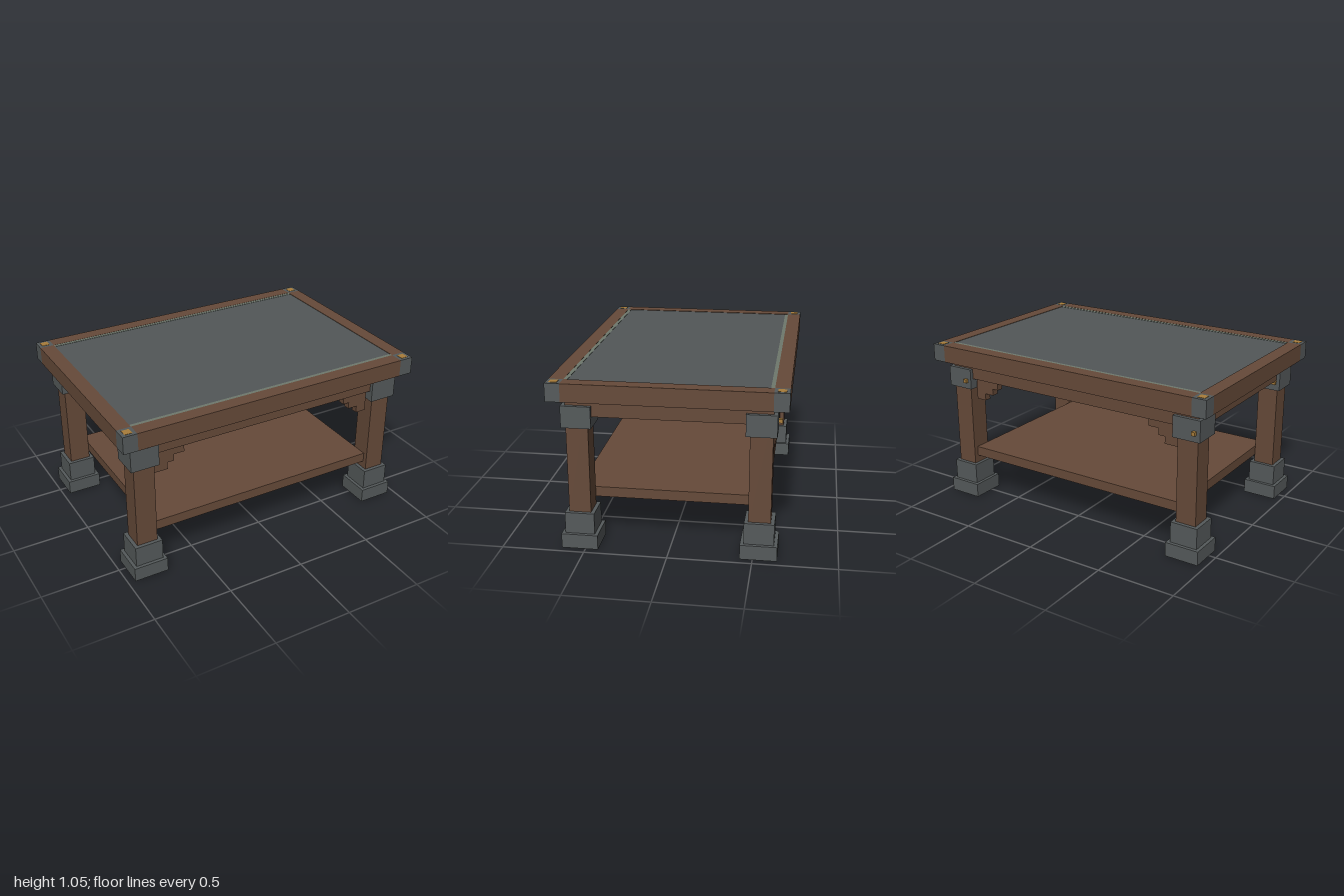
import * as THREE from 'three';

const mat = (name, color) => {
  const m = new THREE.MeshStandardMaterial({ color });
  m.name = name;
  return m;
};

export function createModel() {
  const wood = mat('wood', 0x664a39);
  const steel = mat('steel', 0x555a5b);
  const slate = mat('slate', 0x525758);
  const trim = mat('paleTrim', 0x6f786d);
  const brass = mat('brass', 0xa87d3b);

  const table = new THREE.Group();
  table.name = 'table';

  // Box given by its lower and upper limits on each axis
  const box = (parent, name, material, [x0, x1], [y0, y1], [z0, z1]) => {
    const mesh = new THREE.Mesh(new THREE.BoxGeometry(x1 - x0, y1 - y0, z1 - z0), material);
    mesh.position.set((x0 + x1) / 2, (y0 + y1) / 2, (z0 + z1) / 2);
    mesh.name = name;
    parent.add(mesh);
  };
  const around = (c, half) => [c - half, c + half];

  // Table top: core board with a slate inlay and two pale strips
  const top = new THREE.Group();
  top.name = 'tableTop';
  table.add(top);
  box(top, 'coreBoard', wood, [-0.91, 0.91], [0.935, 1.035], [-0.6, 0.6]);
  box(top, 'inlay', slate, [-0.91, 0.91], [1.035, 1.042], [-0.6, 0.6]);
  for (const s of [-1, 1]) {
    box(top, 'inlayStrip', trim, [-0.91, 0.91], [1.038, 1.044], around(s * 0.589, 0.011));
    box(top, 'longRim', wood, [-0.91, 0.91], [0.935, 1.045], around(s * 0.644, 0.044));
    box(top, 'shortRim', wood, around(s * 0.955, 0.045), [0.935, 1.045], [-0.6, 0.6]);
    // Steel corner caps with brass studs
    for (const t of [-1, 1]) {
      box(top, 'cornerCap', steel, around(s * 0.955, 0.045), [0.935, 1.045], around(t * 0.644, 0.044));
      box(top, 'cornerStud', brass, around(s * 0.955, 0.024), [1.042, 1.047], around(t * 0.644, 0.024));
    }
  }

  // Legs with stepped steel feet, collars and a brass rivet on the back of each collar
  for (const x of [-0.845, 0.845]) {
    for (const z of [-0.534, 0.534]) {
      const leg = new THREE.Group();
      leg.name = 'leg';
      table.add(leg);
      box(leg, 'post', wood, around(x, 0.066), [0.2, 0.935], around(z, 0.066));
      box(leg, 'footBase', steel, around(x, 0.11), [0, 0.09], around(z, 0.11));
      box(leg, 'footBlock', steel, around(x, 0.089), [0.09, 0.222], around(z, 0.089));
      box(leg, 'collar', steel, around(x, 0.089), [0.758, 0.891], around(z, 0.089));
      box(leg, 'rivet', brass, around(x - 0.055, 0.011), [0.802, 0.825], [z - 0.111, z - 0.089]);
    }
  }

  // Aprons between the legs, with stepped brackets under the long ones
  const brackets = [
    [[-0.78, -0.58], [0.78, 0.825]],
    [[-0.78, -0.647], [0.737, 0.78]],
    [[-0.78, -0.69], [0.692, 0.737]],
    [[0.556, 0.732], [0.78, 0.825]],
    [[0.599, 0.732], [0.737, 0.78]],
    [[0.663, 0.732], [0.692, 0.737]],
  ];
  for (const s of [-1, 1]) {
    box(table, 'longApron', wood, [-0.779, 0.779], [0.825, 0.935], around(s * 0.575, 0.025));
    box(table, 'shortApron', wood, around(s * 0.885, 0.025), [0.825, 0.935], [-0.468, 0.468]);
    for (const [xs, ys] of brackets) box(table, 'bracketStep', wood, xs, ys, around(s * 0.57, 0.022));
  }

  // Lower shelf
  box(table, 'shelf', wood, [-0.78, 0.78], [0.27, 0.333], [-0.57, 0.57]);

  return table;
}
